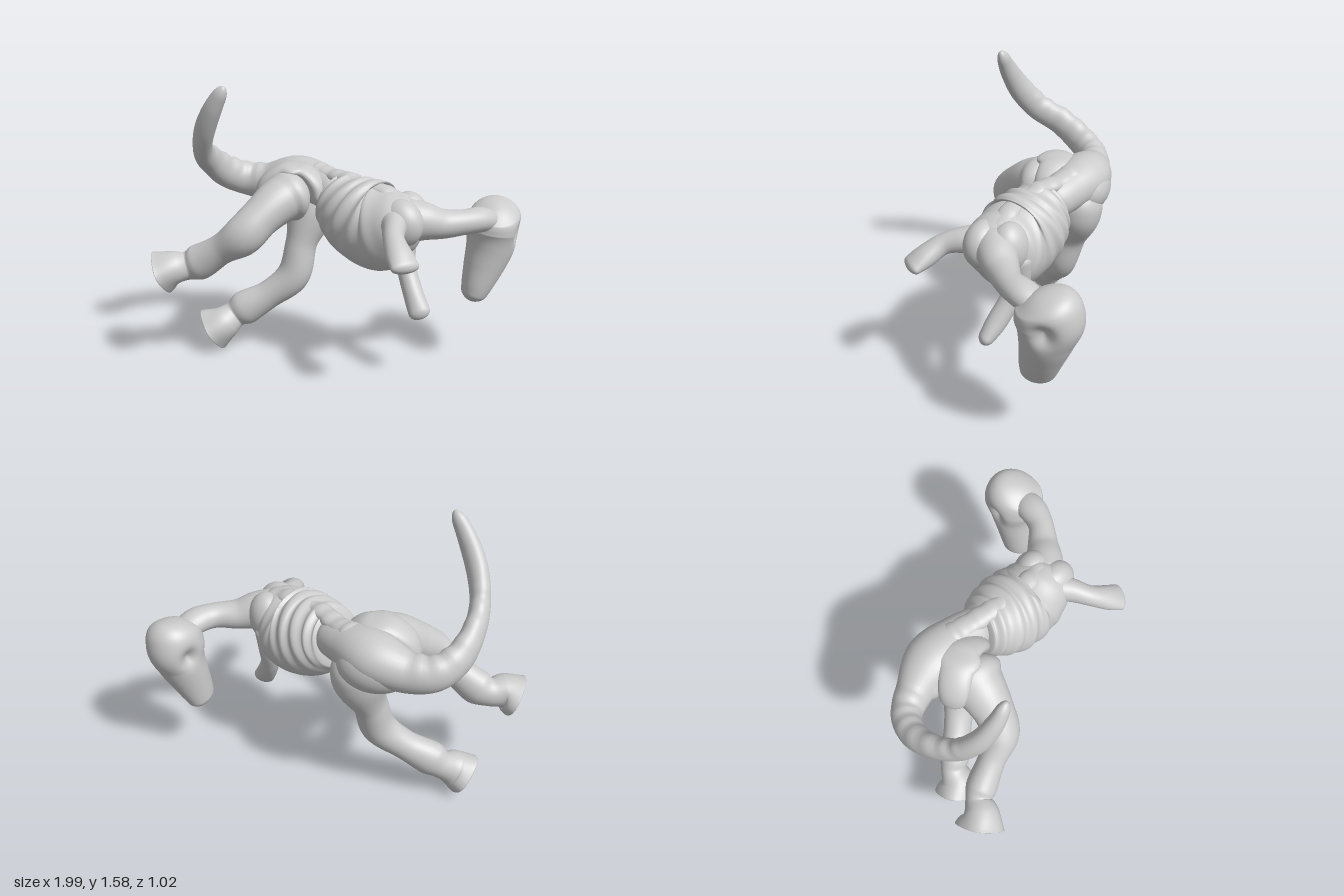
import * as THREE from 'three';

const material = new THREE.MeshStandardMaterial({ color: 0xcccccc, side: THREE.DoubleSide });
const X = new THREE.Vector3(1, 0, 0), Y = new THREE.Vector3(0, 1, 0), Z = new THREE.Vector3(0, 0, 1);

// Smooth limb through stations [x, y, z, half-size along hint, half-size across].
// start / end: share of the length that rounds off.
function limb(name, hint, stations, { start = 0.1, end = 0.1, rows = 48, sides = 32, bump = () => 0 } = {}) {
  const path = new THREE.CatmullRomCurve3(stations.map(s => new THREE.Vector3(s[0], s[1], s[2])));
  const size = new THREE.CatmullRomCurve3(stations.map(s => new THREE.Vector3(s[3], s[4], 0)));
  const pos = [], index = [];
  const round = s => (s >= 1 ? 1 : Math.sqrt(Math.max(0, 1 - (1 - s) ** 2)));
  for (let i = 0; i <= rows; i++) {
    const t = (1 - Math.cos((Math.PI * i) / rows)) / 2;
    const c = path.getPoint(t), T = path.getTangent(t), r = size.getPoint(t);
    const a = hint.clone().addScaledVector(T, -hint.dot(T)).normalize();
    const b = T.clone().cross(a);
    const m = round(t / start) * round((1 - t) / end);
    for (let j = 0; j < sides; j++) {
      const q = (j / sides) * Math.PI * 2;
      const d = a.clone().multiplyScalar(Math.cos(q) * r.x * m).addScaledVector(b, Math.sin(q) * r.y * m);
      const p = c.clone().add(d);
      p.addScaledVector(d.normalize(), bump(t, q, p) * m);
      pos.push(p.x, p.y, p.z);
      if (i < rows) {
        const k = i * sides + j, n = i * sides + (j + 1) % sides;
        index.push(k, n, k + sides, n, n + sides, k + sides);
      }
    }
  }
  const geo = new THREE.BufferGeometry();
  geo.setAttribute('position', new THREE.Float32BufferAttribute(pos, 3));
  geo.setIndex(index);
  geo.computeVertexNormals();
  const mesh = new THREE.Mesh(geo, material);
  mesh.name = name;
  return mesh;
}

function blob(name, p, s, yaw) {
  const mesh = new THREE.Mesh(new THREE.SphereGeometry(1, 32, 22), material);
  mesh.name = name;
  mesh.position.set(...p);
  mesh.scale.set(...s);
  mesh.rotation.y = yaw;
  return mesh;
}

export function createModel() {
  const model = new THREE.Group();

  // Rib cage with ridges that fade out on the belly and chest
  model.add(limb('ribCage', Y, [
    [-0.03, 0.93, -0.2, 0.14, 0.135], [0.03, 0.905, -0.155, 0.185, 0.18], [0.13, 0.86, -0.09, 0.225, 0.215],
    [0.25, 0.83, -0.02, 0.24, 0.21], [0.36, 0.865, 0.03, 0.18, 0.185], [0.49, 0.89, 0.05, 0.11, 0.12],
  ], {
    rows: 110, sides: 48, start: 0.05, end: 0.12,
    bump: (t, q) => {
      const away = Math.min(q, Math.PI * 2 - q);
      const fade = Math.min(1, Math.max(0, (2.4 - away) / 0.8)) * Math.min(1, Math.max(0, (0.8 - t) / 0.25));
      return 0.008 * fade * Math.sin(t * 46 + away * 1.3);
    },
  }));

  // Low knobbly ridge along the back
  model.add(limb('spine', Y, [
    [-0.2, 1.065, -0.34, 0.04, 0.06], [-0.07, 1.045, -0.25, 0.04, 0.06], [0.08, 1.052, -0.13, 0.035, 0.055],
    [0.24, 1.035, -0.03, 0.035, 0.055], [0.44, 0.96, 0.04, 0.045, 0.06],
  ], { rows: 80, bump: t => 0.003 * Math.sin(t * 56) }));

  // Waist, pelvis and the tail that curls up and forward
  model.add(limb('pelvisAndTail', Y, [
    [0.04, 0.94, -0.16, 0.1, 0.1], [-0.1, 0.97, -0.27, 0.115, 0.12], [-0.26, 0.985, -0.36, 0.13, 0.145],
    [-0.44, 0.95, -0.4, 0.11, 0.1], [-0.58, 0.965, -0.395, 0.096, 0.08], [-0.675, 1.02, -0.32, 0.09, 0.07],
    [-0.725, 1.11, -0.2, 0.08, 0.058], [-0.728, 1.19, -0.07, 0.075, 0.053], [-0.69, 1.31, 0.03, 0.07, 0.053],
    [-0.62, 1.45, 0.095, 0.055, 0.045], [-0.54, 1.58, 0.13, 0.032, 0.028],
  ], {
    rows: 100, start: 0.05, end: 0.04,
    bump: (t, q) => (t > 0.3 && t < 0.75 ? 0.004 * Math.sin(t * 95) * Math.max(0, Math.cos(q)) : 0),
  }));

  // Near hip bone arching over the thigh, and the rounded far haunch
  model.add(limb('hipBone', Z, [
    [-0.45, 0.89, -0.2, 0.06, 0.035], [-0.41, 1.0, -0.2, 0.08, 0.04], [-0.31, 1.07, -0.21, 0.09, 0.04],
    [-0.2, 1.07, -0.21, 0.09, 0.04], [-0.12, 1.0, -0.18, 0.08, 0.045], [-0.1, 0.88, -0.17, 0.06, 0.045],
  ]));
  model.add(blob('haunch', [-0.28, 0.94, -0.375], [0.2, 0.145, 0.135], 0.08));

  // Hind legs; each ends in a flared foot with a flat, softly edged sole
  const toes = (t, q) => (t > 0.86 ? 0.007 * ((t - 0.86) / 0.14) * Math.cos(q * 4) : 0);
  const legOptions = { end: 0.022, rows: 96, bump: toes };
  model.add(limb('raisedHindLeg', Z, [
    [-0.2, 0.95, -0.22, 0.14, 0.13], [-0.3, 0.93, -0.11, 0.14, 0.13], [-0.4, 0.85, 0.01, 0.11, 0.11],
    [-0.48, 0.765, 0.075, 0.095, 0.11], [-0.61, 0.675, 0.06, 0.075, 0.085], [-0.74, 0.59, 0.045, 0.085, 0.1],
    [-0.81, 0.565, 0.05, 0.073, 0.08], [-0.88, 0.56, 0.085, 0.1, 0.095], [-0.955, 0.53, 0.098, 0.135, 0.124],
  ], legOptions));
  model.add(limb('loweredHindLeg', Z, [
    [-0.2, 0.98, -0.36, 0.11, 0.15], [-0.19, 0.82, -0.34, 0.13, 0.15], [-0.235, 0.62, -0.285, 0.1, 0.09],
    [-0.275, 0.44, -0.245, 0.09, 0.095], [-0.41, 0.325, -0.215, 0.078, 0.082], [-0.55, 0.24, -0.19, 0.085, 0.1],
    [-0.61, 0.2, -0.18, 0.073, 0.08], [-0.67, 0.155, -0.14, 0.1, 0.1], [-0.745, 0.107, -0.125, 0.125, 0.13],
  ], legOptions));

  // Shoulders and short forelimbs
  model.add(blob('nearShoulder', [0.375, 0.89, 0.1], [0.13, 0.13, 0.1], -0.5));
  model.add(blob('farShoulder', [0.405, 0.89, -0.025], [0.11, 0.14, 0.1], -0.5));
  model.add(limb('nearForelimb', Y, [
    [0.34, 0.895, 0.1, 0.09, 0.09], [0.355, 0.895, 0.2, 0.07, 0.065], [0.365, 0.87, 0.31, 0.055, 0.055],
    [0.405, 0.815, 0.4, 0.055, 0.07], [0.455, 0.765, 0.485, 0.032, 0.078],
  ], { end: 0.07 }));
  model.add(limb('farForelimb', X, [
    [0.39, 0.87, -0.07, 0.08, 0.08], [0.385, 0.73, -0.075, 0.062, 0.065], [0.4, 0.6, -0.035, 0.052, 0.055],
    [0.445, 0.48, 0.03, 0.055, 0.055], [0.5, 0.365, 0.105, 0.06, 0.036],
  ], { end: 0.07 }));

  // Neck
  model.add(limb('neck', Y, [
    [0.36, 0.89, 0.04, 0.13, 0.13], [0.48, 0.885, 0.02, 0.105, 0.105], [0.58, 0.865, -0.015, 0.08, 0.085],
    [0.7, 0.866, -0.065, 0.068, 0.07], [0.78, 0.862, -0.14, 0.068, 0.08], [0.83, 0.83, -0.22, 0.06, 0.07],
  ]));

  // Skull hanging down to a long snout, with an eye socket on each side
  const sockets = [new THREE.Vector3(0.985, 0.765, -0.245), new THREE.Vector3(0.73, 0.765, -0.35)];
  model.add(limb('skull', X, [
    [0.865, 0.93, -0.23, 0.12, 0.14], [0.86, 0.875, -0.25, 0.14, 0.157], [0.85, 0.785, -0.267, 0.152, 0.167],
    [0.835, 0.68, -0.255, 0.133, 0.14], [0.805, 0.57, -0.235, 0.112, 0.118], [0.772, 0.46, -0.215, 0.086, 0.1],
    [0.745, 0.37, -0.205, 0.06, 0.08],
  ], {
    rows: 80, sides: 64, start: 0.24, end: 0.09,
    bump: (t, q, p) => sockets.reduce((d, s) => d - 0.055 * Math.exp(-p.distanceToSquared(s) / 0.0028), 0),
  }));

  return model;
}
